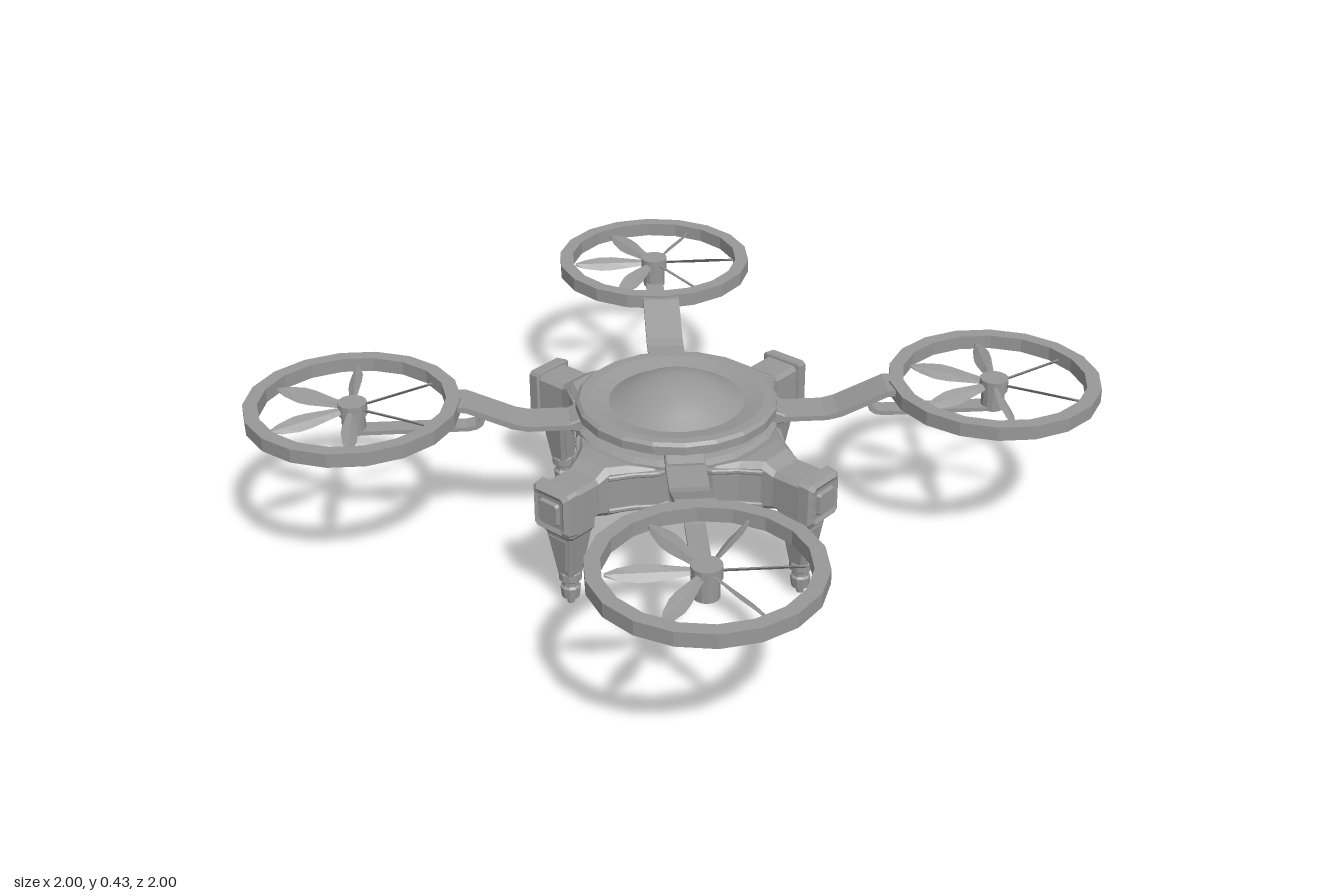
import * as THREE from 'three';

const flat = new THREE.MeshStandardMaterial({ color: 0x989898, flatShading: true });
const smooth = new THREE.MeshStandardMaterial({ color: 0x989898 });

function add(parent, name, geometry, material = flat) {
  const mesh = new THREE.Mesh(geometry, material);
  mesh.name = name;
  parent.add(mesh);
  return mesh;
}

const lathe = (points, sides) =>
  new THREE.LatheGeometry(points.map(([r, y]) => new THREE.Vector2(r, y)), sides);

// Chamfered rectangle at depth z, counter-clockwise seen from +z
function section(z, hw, y0, y1, c) {
  return [[hw, y0 + c], [hw, y1 - c], [hw - c, y1], [c - hw, y1],
    [-hw, y1 - c], [-hw, y0 + c], [c - hw, y0], [hw - c, y0]].map(([x, y]) => [x, y, z]);
}

// Skin between successive sections along +z, with end caps
function loft(sections) {
  const pos = [];
  const tri = (a, b, c) => pos.push(...a, ...b, ...c);
  const n = sections[0].length;
  for (let i = 0; i < sections.length - 1; i++) {
    for (let j = 0; j < n; j++) {
      const k = (j + 1) % n, s = sections[i], t = sections[i + 1];
      tri(s[j], s[k], t[k]);
      tri(s[j], t[k], t[j]);
    }
  }
  const first = sections[0], last = sections[sections.length - 1];
  for (let j = 1; j < n - 1; j++) {
    tri(last[0], last[j], last[j + 1]);
    tri(first[0], first[j + 1], first[j]);
  }
  const g = new THREE.BufferGeometry();
  g.setAttribute('position', new THREE.Float32BufferAttribute(pos, 3));
  g.computeVertexNormals();
  return g;
}

// Side outline (distance, height) extruded to a width, pointing along +z
function sideStrip(points, width) {
  const shape = new THREE.Shape(points.map(([x, y]) => new THREE.Vector2(x, y)));
  return new THREE.ExtrudeGeometry(shape, { depth: width, bevelEnabled: false })
    .translate(0, 0, -width / 2).rotateY(-Math.PI / 2);
}

function createRotor() {
  const rotor = new THREE.Group();
  rotor.name = 'rotor';
  add(rotor, 'guardRing', lathe([[0.216, 0.369], [0.25, 0.369], [0.25, 0.403], [0.216, 0.403], [0.216, 0.369]], 18));
  add(rotor, 'motor', new THREE.CylinderGeometry(0.028, 0.028, 0.05, 14).translate(0, 0.348, 0));
  add(rotor, 'hub', new THREE.CylinderGeometry(0.034, 0.034, 0.03, 14).translate(0, 0.385, 0));
  // Tapered, pitched blades
  const blade = loft([[0.02, 0.008], [0.06, 0.013], [0.11, 0.02], [0.14, 0.021], [0.18, 0.014], [0.208, 0.004]]
    .map(([z, w]) => [[w, 0, z], [0, 0.003, z], [-w, 0, z], [0, -0.003, z]])).rotateZ(-0.6);
  for (let i = 0; i < 6; i++) {
    const b = add(rotor, 'blade', blade);
    b.position.y = 0.385;
    b.rotation.y = Math.PI / 2 + i * Math.PI / 3;
  }
  return rotor;
}

function createArm() {
  const arm = new THREE.Group();
  arm.name = 'rotorArm';
  add(arm, 'armRoot', loft([section(0.12, 0.045, 0.315, 0.36, 0.004),
    section(0.215, 0.045, 0.315, 0.36, 0.004), section(0.25, 0.045, 0.325, 0.345, 0.004)]));
  add(arm, 'armBeam', sideStrip([[0.18, 0.328], [0.35, 0.328], [0.385, 0.336], [0.49, 0.383], [0.515, 0.385],
    [0.515, 0.398], [0.49, 0.398], [0.375, 0.347], [0.345, 0.34], [0.18, 0.34]], 0.09));
  // Hooked strut reaching under the rotor to the motor
  add(arm, 'motorStrut', sideStrip([[0.45, 0.37], [0.447, 0.35], [0.452, 0.337], [0.465, 0.327], [0.485, 0.323],
    [0.765, 0.323], [0.765, 0.333], [0.49, 0.333], [0.47, 0.337], [0.46, 0.345], [0.457, 0.355], [0.462, 0.374]], 0.045));
  const rotor = createRotor();
  rotor.position.z = 0.75;
  arm.add(rotor);
  return arm;
}

function createLeg() {
  const leg = new THREE.Group();
  leg.name = 'landingLeg';
  // Shoulder flaring out of the hull, narrowing to a collar
  add(leg, 'shoulder', loft([section(0.1, 0.15, 0.228, 0.315, 0.012), section(0.21, 0.122, 0.224, 0.322, 0.012),
    section(0.25, 0.082, 0.214, 0.332, 0.014), section(0.295, 0.054, 0.21, 0.335, 0.014),
    section(0.325, 0.048, 0.222, 0.318, 0.01), section(0.41, 0.048, 0.222, 0.318, 0.01)]));
  // Rims framing the concave sides of the shoulder
  for (const y of [0.222, 0.306]) {
    add(leg, 'shoulderRim', loft([section(0.15, 0.142, y, y + 0.012, 0.003), section(0.212, 0.127, y, y + 0.012, 0.003),
      section(0.254, 0.087, y, y + 0.012, 0.003), section(0.3, 0.057, y, y + 0.012, 0.003)]));
  }
  // End cap frame with a raised panel
  add(leg, 'endCollar', loft([section(0.4, 0.05, 0.216, 0.322, 0.006), section(0.402, 0.056, 0.212, 0.326, 0.006),
    section(0.428, 0.054, 0.214, 0.324, 0.008), section(0.438, 0.044, 0.222, 0.316, 0.008),
    section(0.433, 0.036, 0.232, 0.306, 0.006)]));
  add(leg, 'endPanel', loft([section(0.42, 0.032, 0.238, 0.3, 0.005), section(0.443, 0.027, 0.243, 0.295, 0.005)]));
  // Tapering strut; sections run downward
  const strut = [[-0.235, 0.046, 0.042], [-0.205, 0.046, 0.042], [-0.195, 0.04, 0.037], [-0.085, 0.023, 0.023]]
    .map(([z, w, d]) => section(z, w, -d, d, 0.007));
  add(leg, 'legStrut', loft(strut).rotateX(Math.PI / 2).translate(0, 0, 0.375));
  for (const s of [1, -1]) {
    const panel = loft([section(-0.188, 0.028, s * 0.034 - 0.005, s * 0.034 + 0.005, 0.002),
      section(-0.1, 0.015, s * 0.024 - 0.005, s * 0.024 + 0.005, 0.002)]);
    add(leg, 'legPanel', panel.rotateX(Math.PI / 2).translate(0, 0, 0.375));
  }
  add(leg, 'foot', lathe([[0, 0], [0.008, 0], [0.01, 0.014], [0.021, 0.018], [0.024, 0.045], [0.019, 0.05],
    [0.019, 0.06], [0.027, 0.066], [0.027, 0.084], [0.02, 0.092], [0, 0.092]], 10).translate(0, 0, 0.375));
  return leg;
}

export function createModel() {
  const model = new THREE.Group();
  model.name = 'quadcopter';

  // Central hull with stepped rings around a recessed underside
  add(model, 'hull', lathe([[0, 0.216], [0.115, 0.216], [0.122, 0.201], [0.14, 0.201], [0.144, 0.207], [0.158, 0.207],
    [0.162, 0.201], [0.176, 0.203], [0.182, 0.212], [0.218, 0.217], [0.228, 0.23], [0.228, 0.305],
    [0.236, 0.316], [0.236, 0.326], [0.22, 0.334], [0.2, 0.336], [0.2, 0.35], [0, 0.35]], 24));
  add(model, 'topDisc', lathe([[0, 0.342], [0.205, 0.342], [0.22, 0.35], [0.236, 0.358], [0.236, 0.378],
    [0.228, 0.385], [0.205, 0.385], [0.155, 0.374], [0, 0.374]], 20));
  add(model, 'dome', lathe([[0.162, 0.373], [0.145, 0.382], [0.125, 0.394], [0.105, 0.406], [0.08, 0.418],
    [0.05, 0.428], [0.025, 0.432], [0, 0.433]], 40), smooth);

  // Four rotor arms on the axes, four legs on the diagonals
  for (let i = 0; i < 4; i++) {
    const arm = createArm();
    arm.rotation.y = i * Math.PI / 2;
    const leg = createLeg();
    leg.rotation.y = (i + 0.5) * Math.PI / 2;
    model.add(arm, leg);
  }
  return model;
}
